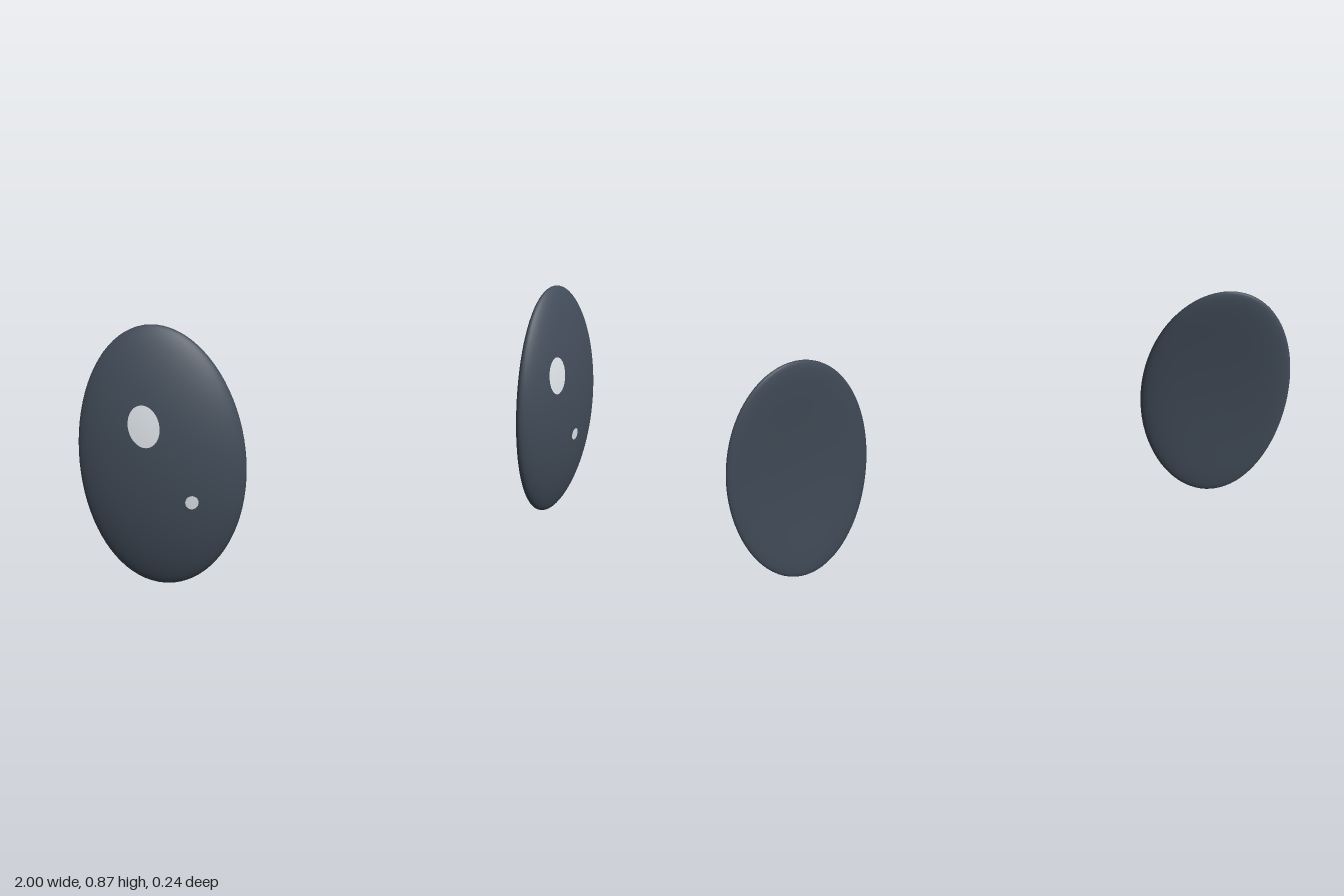
import * as THREE from 'three';
import { mergeVertices } from 'three/addons/utils/BufferGeometryUtils.js';

const HALF_W = 0.243, HALF_H = 0.435;   // outline seen from the front
const WIDTH = 0.2655, DEPTH = 0.049;    // ellipsoid radii before turning
const YAW = 0.42, CENTRE_X = 0.757;

// Forward shift that curves the eye like a shell and leans its top back
function bend(x, y) {
  const u = x / HALF_W, v = y / HALF_H;
  return 0.022 - 0.022 * u * u - 0.055 * v * v - 0.0175 * v;
}

// Rebuild smooth normals without a seam
function smooth(geometry) {
  geometry.deleteAttribute('uv');
  geometry.deleteAttribute('normal');
  const merged = mergeVertices(geometry, 1e-5);
  merged.computeVertexNormals();
  return merged;
}

// Flattened ellipsoid turned outward, then bent
function eyeGeometry(side) {
  const g = new THREE.SphereGeometry(1, 64, 40);
  g.scale(WIDTH, HALF_H, DEPTH);
  g.rotateY(side * YAW);
  const p = g.attributes.position;
  for (let i = 0; i < p.count; i++) {
    p.setZ(i, p.getZ(i) + bend(p.getX(i), p.getY(i)));
  }
  return smooth(g);
}

// Depth of the front surface at a point of the eye
function frontZ(side, x, y) {
  const slope = (WIDTH ** 2 - DEPTH ** 2) * Math.sin(YAW) * Math.cos(YAW) / HALF_W ** 2;
  const inside = Math.max(0, 1 - (x / HALF_W) ** 2 - (y / HALF_H) ** 2);
  return -side * slope * x + (WIDTH * DEPTH / HALF_W) * Math.sqrt(inside) + bend(x, y);
}

// Oval glint lying just above the front surface
function glintGeometry(side, cx, cy, rx, ry) {
  const g = new THREE.RingGeometry(0, 1, 32, 5);
  g.scale(rx, ry, 1);
  g.translate(cx, cy, 0);
  const p = g.attributes.position;
  for (let i = 0; i < p.count; i++) {
    p.setZ(i, frontZ(side, p.getX(i), p.getY(i)) + 0.004);
  }
  g.computeVertexNormals();
  return g;
}

export function createModel() {
  const model = new THREE.Group();
  model.name = 'eyes';
  const dark = new THREE.MeshStandardMaterial({ color: 0x414b58 });
  dark.name = 'darkSlate';
  const light = new THREE.MeshStandardMaterial({ color: 0xeef4fa });
  light.name = 'glintWhite';

  for (const side of [-1, 1]) {
    const eye = new THREE.Group();
    eye.name = side > 0 ? 'leftEye' : 'rightEye';
    eye.position.set(side * CENTRE_X, HALF_H, 0);
    const add = (name, geometry, material) => {
      const mesh = new THREE.Mesh(geometry, material);
      mesh.name = name;
      eye.add(mesh);
    };
    add('eyeball', eyeGeometry(side), dark);
    // Both eyes catch the light on the same side
    add('largeGlint', glintGeometry(side, -0.064, 0.132, 0.044, 0.067), light);
    add('smallGlint', glintGeometry(side, 0.058, -0.119, 0.02, 0.023), light);
    model.add(eye);
  }
  return model;
}
